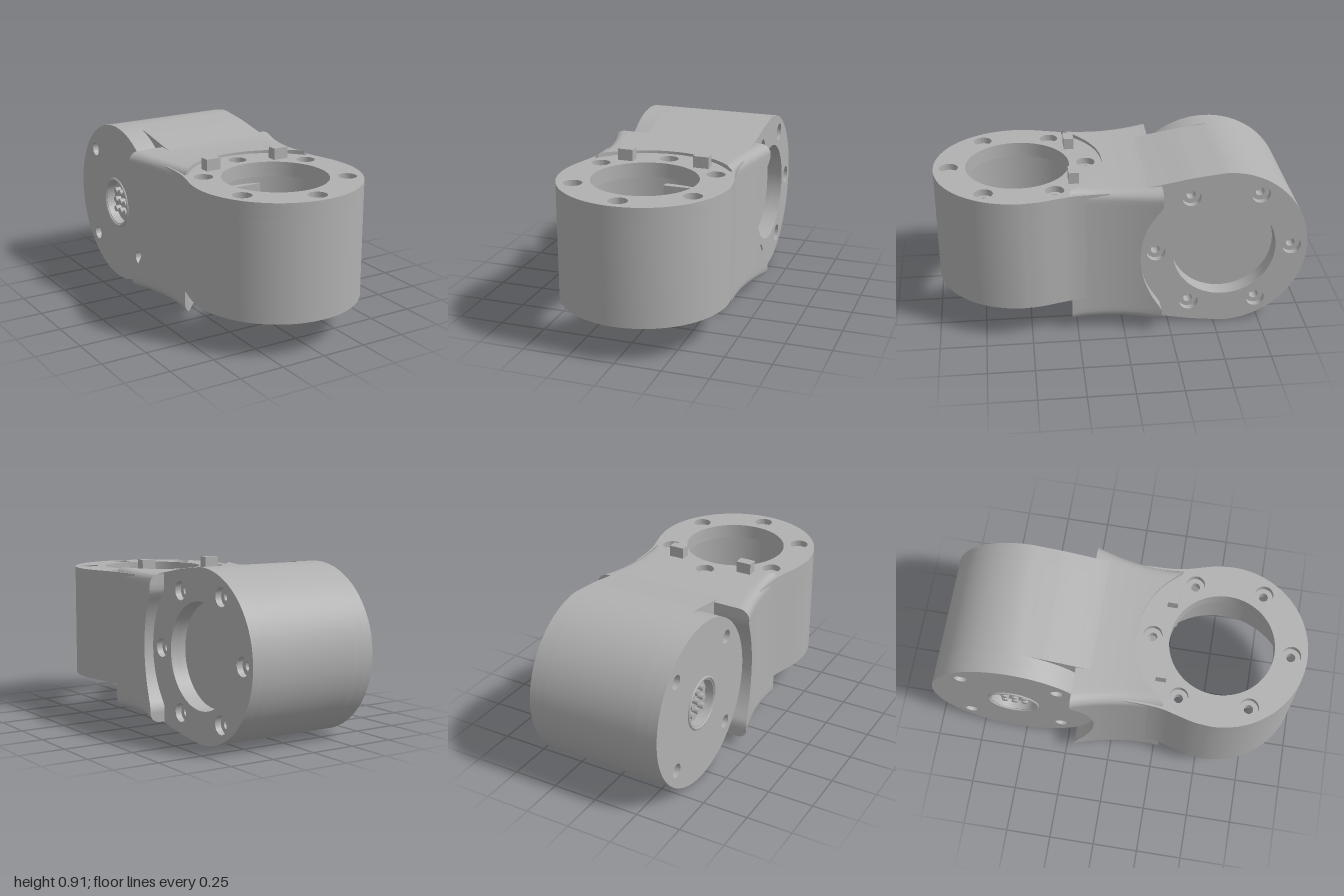
import * as THREE from 'three';
import { toCreasedNormals } from 'three/addons/utils/BufferGeometryUtils.js';

const R = 0.455, CY = 0.457, RING_Z = 0.54, DRUM_Z = -0.545, BOLT = 0.37;

export function createModel() {
  const model = new THREE.Group();
  const grey = new THREE.MeshStandardMaterial({ color: 0xb0b0b0, side: THREE.DoubleSide });
  grey.name = 'plain grey';

  const add = (name, geo, parent = model) => {
    const mesh = new THREE.Mesh(geo, grey);
    mesh.name = name;
    parent.add(mesh);
    return mesh;
  };

  const group = (name) => {
    const g = new THREE.Group();
    g.name = name;
    model.add(g);
    return g;
  };

  // Round outline that flares smoothly into the neck along +y of the shape
  const outline = (flare) => {
    const side = new THREE.SplineCurve([[R, 0], ...flare].map((p) => new THREE.Vector2(...p))).getPoints(16);
    const pts = side.map((p) => p.clone());
    side.reverse().forEach((p) => pts.push(new THREE.Vector2(-p.x, p.y)));
    for (let i = 1; i < 40; i++) {
      const a = Math.PI + (i / 40) * Math.PI;
      pts.push(new THREE.Vector2(R * Math.cos(a), R * Math.sin(a)));
    }
    return pts;
  };
  const circle = Array.from({ length: 80 }, (_, i) =>
    new THREE.Vector2(R * Math.cos(i * Math.PI / 40), R * Math.sin(i * Math.PI / 40)));

  const hole = (x, y, r) => new THREE.Path().absarc(x, y, r, 0, Math.PI * 2, true);
  const boltHoles = (count, start, r) => Array.from({ length: count }, (_, i) => {
    const a = start + (i / count) * Math.PI * 2;
    return hole(BOLT * Math.cos(a), BOLT * Math.sin(a), r);
  });

  // One flat layer of a body, extruded from one level to another
  const layer = (pts, holes, from, to, matrix) => {
    const shape = new THREE.Shape(pts);
    shape.holes.push(...holes);
    const geo = new THREE.ExtrudeGeometry(shape, { depth: to - from, bevelEnabled: false, curveSegments: 32 });
    geo.translate(0, 0, from).applyMatrix4(matrix);
    return toCreasedNormals(geo, 0.5);
  };

  // Upright ring, open below, with a drilled top flange
  const ring = group('uprightRing');
  const ringPts = outline([[0.446, 0.09], [0.42, 0.19], [0.4, 0.27], [0.392, 0.36], [0.39, 0.465]]);
  const up = new THREE.Matrix4().makeRotationX(-Math.PI / 2).setPosition(0, 0, RING_Z);
  add('ringWall', layer(ringPts, [hole(0, 0, 0.425)], 0.2, 0.75, up), ring);
  add('ringFlangeLower', layer(ringPts, [hole(0, 0, 0.28), ...boltHoles(6, Math.PI / 2, 0.024)], 0.75, 0.795, up), ring);
  add('ringFlangeUpper', layer(ringPts, [hole(0, 0, 0.28), ...boltHoles(6, Math.PI / 2, 0.05)], 0.795, 0.83, up), ring);
  for (const s of [-1, 1]) {
    add('locatingTab', new THREE.BoxGeometry(0.085, 0.075, 0.055).translate(s * 0.212, 0.855, 0.25), ring);
  }
  add('innerSocket', new THREE.BoxGeometry(0.2, 0.24, 0.04).translate(0.06, 0.55, 0.135), ring);

  // Sideways drum with a recessed drilled face on its left
  const drum = group('sidewaysDrum');
  const drumPts = outline([[0.438, 0.145], [0.43, 0.2], [0.403, 0.345], [0.391, 0.42], [0.387, 0.47]]);
  const across = new THREE.Matrix4().makeBasis(
    new THREE.Vector3(0, 1, 0), new THREE.Vector3(0, 0, 1), new THREE.Vector3(1, 0, 0)).setPosition(0, CY, DRUM_Z);
  add('drumBody', layer(drumPts, [], -0.255, 0.285, across), drum);
  add('drumFlangeInner', layer(drumPts, [hole(0, 0, 0.28), ...boltHoles(6, Math.PI / 2, 0.024)], 0.285, 0.34, across), drum);
  add('drumFlangeOuter', layer(drumPts, [hole(0, 0, 0.28), ...boltHoles(6, Math.PI / 2, 0.05)], 0.34, 0.375, across), drum);

  // Round end cap with four screw holes and a pin connector
  add('capBase', layer(circle, [], -0.325, -0.255, across), drum);
  add('capFace', layer(circle, [hole(0, 0, 0.125), ...boltHoles(4, Math.PI / 4, 0.038)], -0.375, -0.325, across), drum);
  add('connectorRim', new THREE.TorusGeometry(0.138, 0.008, 8, 40).rotateY(Math.PI / 2).translate(-0.375, CY, DRUM_Z), drum);
  for (let i = -1; i <= 1; i++) {
    for (let j = -1; j <= 1; j++) {
      add('connectorPin', new THREE.CylinderGeometry(0.018, 0.018, 0.035, 10).rotateZ(Math.PI / 2)
        .translate(-0.34, CY + i * 0.055, DRUM_Z + j * 0.055), drum);
    }
  }

  add('neck', neckGeometry());
  return model;
}

// Flared neck: rounded rectangular sections, scooped at both ends to wrap the ring and the drum
function neckGeometry() {
  const quarter = [];
  for (let i = 0; i < 12; i++) quarter.push([1, 0.03 + (i / 12) * 0.84]);
  for (let i = 0; i <= 6; i++) {
    const a = (i / 6) * Math.PI / 2;
    quarter.push([0.87 + 0.13 * Math.cos(a), 0.87 + 0.13 * Math.sin(a)]);
  }
  for (let i = 1; i <= 12; i++) quarter.push([0.87 - (i / 12) * 0.84, 1]);
  const half = [...quarter, ...quarter.slice().reverse().map(([u, v]) => [-u, v])];
  const loop = [...half, ...half.slice().reverse().map(([u, v]) => [u, -v])];
  const N = loop.length, STEPS = 14;

  const width = (z) => 0.393 + 0.41 * (z - 0.215) ** 2;
  const height = (z) => 0.387 + 0.18 * (z - 0.02) ** 2;
  const frontZ = (u) => Math.min(RING_Z - Math.sqrt(0.457 ** 2 - (u * 0.4) ** 2), 0.28);
  const rearZ = (v) => Math.max(DRUM_Z + Math.sqrt(0.46 ** 2 - (v * 0.39) ** 2), -0.2);
  const point = (i, s) => {
    const [u, v] = loop[(i + N) % N];
    const z = THREE.MathUtils.lerp(frontZ(u), rearZ(v), s);
    return [u * width(z), CY + v * height(z), z];
  };

  const pos = [];
  const quad = (a, b, c, d) => pos.push(...a, ...b, ...c, ...a, ...c, ...d);

  // Outer skin
  for (let i = 0; i < N; i++) {
    for (let k = 0; k < STEPS; k++) {
      const s = k / STEPS, t = (k + 1) / STEPS;
      quad(point(i, s), point(i, t), point(i + 1, t), point(i + 1, s));
    }
  }

  // Rear scoop
  for (let i = -N / 4; i < N / 4 - 1; i++) {
    const m = N / 2 - 1 - i;
    if (Math.abs(loop[(i + N) % N][1] - loop[(i + 1 + N) % N][1]) < 1e-6) continue;
    quad(point(i, 1), point(m, 1), point(m - 1, 1), point(i + 1, 1));
  }

  // Front scoop with a hollow cable pocket
  const LOW = 0.13, HIGH = 0.78, BACK = -0.02;
  const inside = (i) => Math.abs(loop[i][0]) < 0.84;
  const at = (p, y, z = p[2]) => [p[0], y, z];
  for (let i = 0; i < N / 2 - 1; i++) {
    if (Math.abs(loop[i][0] - loop[i + 1][0]) < 1e-6) continue;
    const a = point(i, 0), b = point(i + 1, 0);
    const c = point(N - 2 - i, 0), d = point(N - 1 - i, 0);
    if (!inside(i) || !inside(i + 1)) {
      quad(a, b, c, d);
      const edge = inside(i) ? a : inside(i + 1) ? b : null;
      if (edge) {
        const wall = [at(edge, LOW), at(edge, HIGH), at(edge, HIGH, BACK), at(edge, LOW, BACK)];
        if (edge[0] < 0) wall.reverse();
        quad(...wall);
      }
      continue;
    }
    quad(a, b, at(b, HIGH), at(a, HIGH));
    quad(at(a, LOW), at(b, LOW), c, d);
    quad(at(a, HIGH), at(b, HIGH), at(b, HIGH, BACK), at(a, HIGH, BACK));
    quad(at(a, LOW, BACK), at(b, LOW, BACK), at(b, LOW), at(a, LOW));
    quad(at(a, HIGH, BACK), at(b, HIGH, BACK), at(b, LOW, BACK), at(a, LOW, BACK));
  }

  const geo = new THREE.BufferGeometry();
  geo.setAttribute('position', new THREE.Float32BufferAttribute(pos, 3));
  return toCreasedNormals(geo, 0.6);
}
